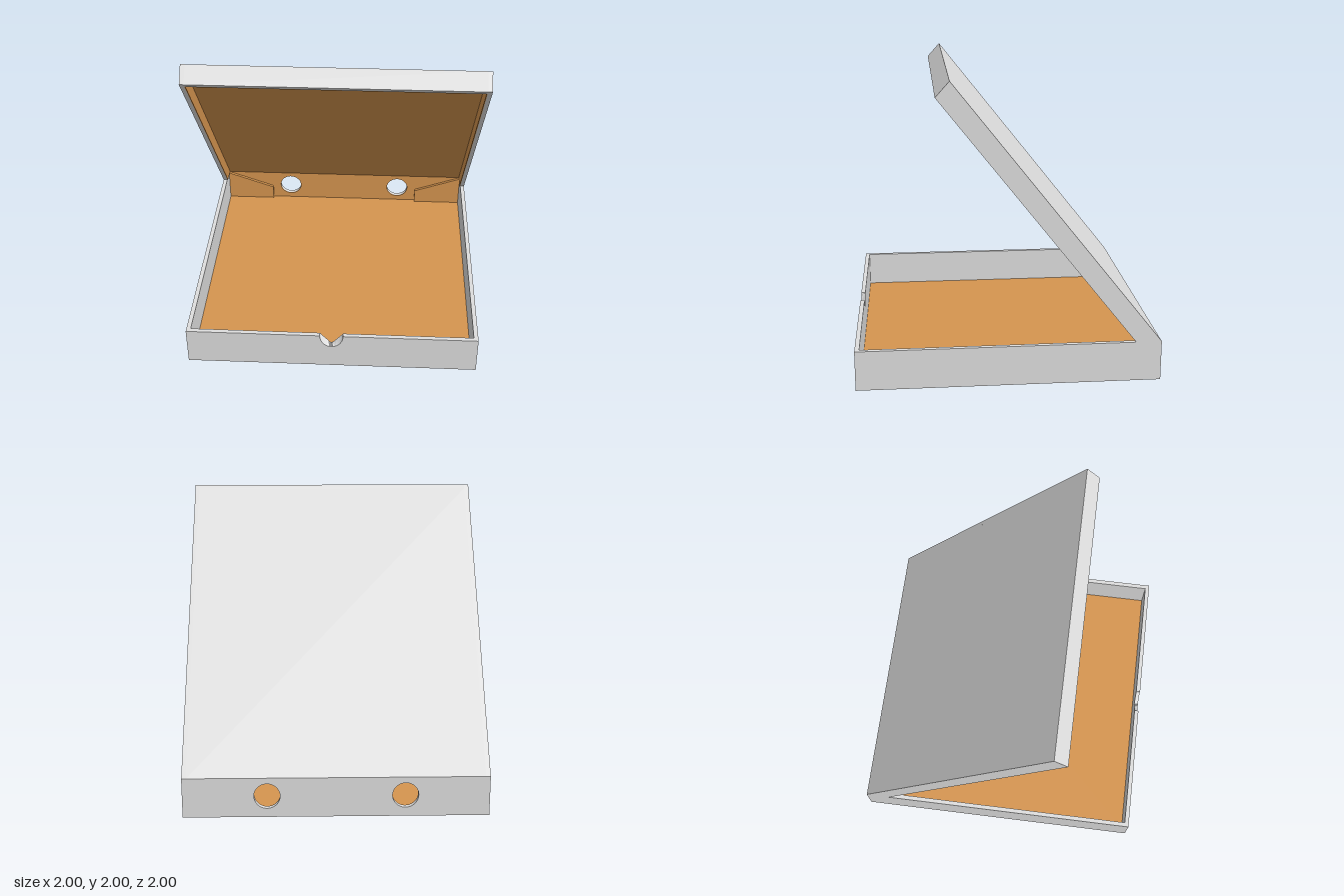
import * as THREE from 'three';

const H = 0.27;   // tray height
const T = 0.03;   // board thickness
const L = 0.006;  // liner thickness

export function createModel() {
  const board = new THREE.MeshStandardMaterial({ color: 0xdedede });
  board.name = 'white board';
  const kraft = new THREE.MeshStandardMaterial({ color: 0xd6954f });
  kraft.name = 'brown cardboard';

  const model = new THREE.Group();
  model.name = 'openBox';
  const tray = new THREE.Group();
  tray.name = 'tray';
  const lid = new THREE.Group();
  lid.name = 'lid';
  model.add(tray, lid);

  const add = (parent, name, geometry, material) => {
    const mesh = new THREE.Mesh(geometry, material);
    mesh.name = name;
    parent.add(mesh);
    return mesh;
  };
  const box = (parent, name, material, x0, x1, y0, y1, z0, z1) => {
    const g = new THREE.BoxGeometry(x1 - x0, y1 - y0, z1 - z0);
    g.translate((x0 + x1) / 2, (y0 + y1) / 2, (z0 + z1) / 2);
    return add(parent, name, g, material);
  };
  const shapeOf = (points) => new THREE.Shape(points.map(([a, b]) => new THREE.Vector2(a, b)));
  // plate drawn in x, y with thickness in z
  const plateXY = (shape, z0, z1) =>
    new THREE.ExtrudeGeometry(shape, { depth: z1 - z0, bevelEnabled: false, curveSegments: 32 }).translate(0, 0, z0);
  // plate drawn in z, y with thickness in x
  const plateZY = (points, x0, x1) =>
    new THREE.ExtrudeGeometry(shapeOf(points), { depth: x1 - x0, bevelEnabled: false })
      .rotateY(-Math.PI / 2).translate(x1, 0, 0);

  // Tray floor and its brown lining
  box(tray, 'floor', board, -1 + T, 1 - T, 0, 0.015, -1 + T, 1 - T);
  box(tray, 'floorLining', kraft, -1 + T, 1 - T, 0.015, 0.021, -1 + T, 1 - T);

  // Tray side walls
  box(tray, 'rightWall', board, -1, -1 + T, 0, H, -1 + T, 1 - T);
  box(tray, 'leftWall', board, 1 - T, 1, 0, H, -1 + T, 1 - T);

  // Front wall: thumb notch is round outside and V-shaped inside
  const notchR = 0.08, notchD = 0.097, n = 24;
  const outline = [[-1, 0], [1, 0], [1, H]];
  for (let i = 0; i <= n; i++) {
    const a = (i / n) * Math.PI;
    outline.push([notchR * Math.cos(a), H - notchD * Math.sin(a)]);
  }
  outline.push([-1, H]);
  const front = plateXY(shapeOf(outline), 1 - T, 1);
  const p = front.attributes.position;
  for (let i = 0; i < p.count; i++) {
    const ax = Math.abs(p.getX(i));
    if (p.getZ(i) < 1 - T / 2 && ax < notchR + 0.001) p.setY(i, H - 0.09 * (1 - ax / notchR));
  }
  front.computeVertexNormals();
  add(tray, 'frontWall', front, board);

  // Back wall with two vent holes, white outside and brown inside
  const backShape = (w, y0, y1) => {
    const s = shapeOf([[-w, y0], [w, y0], [w, y1], [-w, y1]]);
    for (const x of [-0.45, 0.45]) {
      const hole = new THREE.Path();
      hole.absarc(x, 0.145, 0.085, 0, Math.PI * 2, true);
      s.holes.push(hole);
    }
    return s;
  };
  add(tray, 'backWall', plateXY(backShape(1, 0, H), -1, -1 + T), board);
  add(tray, 'backWallLining', plateXY(backShape(1 - T, 0.02, 0.265), -1 + T, -1 + T + L), kraft);

  // Tapered corner flaps folded against the back wall
  for (const s of [-1, 1]) {
    const flap = shapeOf([[s * 0.97, 0.02], [s * 0.6, 0.02], [s * 0.6, 0.13], [s * 0.97, 0.262]]);
    add(tray, s < 0 ? 'rightFlap' : 'leftFlap', plateXY(flap, -1 + T + L, -0.942), kraft);
  }

  // Lid side profile, points given as z, y
  const hinge = [-1, H], tip = [0.37, 2], lip = [0.46, 1.9], heel = [-0.83, H];
  const tipIn = [0.351, 1.976], lipIn = [0.441, 1.876];
  const hingeIn = [-0.962, H], corner = [0.371, 1.954];
  const shift = ([z, y], dz, dy) => [z + dz, y + dy];
  const inner = 1 - T;

  add(lid, 'lidPanel', plateZY([hinge, tipIn, corner, hingeIn], -inner, inner), board);
  add(lid, 'lidFrontLip', plateZY([tip, tipIn, lipIn, lip], -inner, inner), board);
  add(lid, 'lidRightSide', plateZY([hinge, tip, lip, heel], -1, -inner), board);
  add(lid, 'lidLeftSide', plateZY([hinge, tip, lip, heel], inner, 1), board);

  // Brown lining inside the lid
  add(lid, 'lidPanelLining',
    plateZY([hingeIn, corner, shift(corner, 0.004, -0.005), shift(hingeIn, 0.008, 0)], -inner, inner), kraft);
  add(lid, 'lidLipLining',
    plateZY([corner, lipIn, shift(lipIn, -0.004, -0.005), shift(corner, -0.004, -0.005)], -inner, inner), kraft);
  const sideLining = [hingeIn, corner, lipIn, heel];
  add(lid, 'lidRightLining', plateZY(sideLining, -inner, -inner + L), kraft);
  add(lid, 'lidLeftLining', plateZY(sideLining, inner - L, inner), kraft);

  return model;
}
